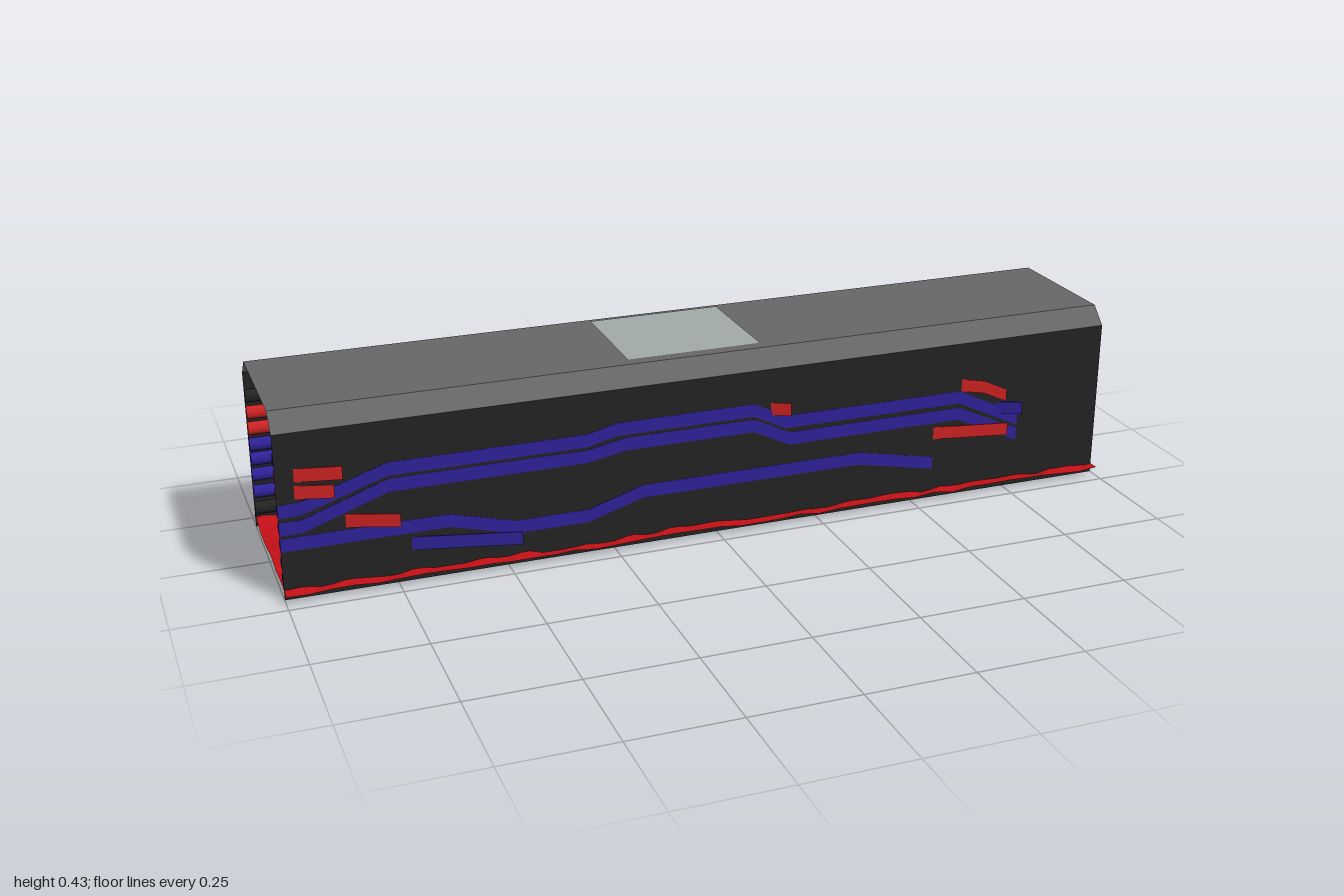
import * as THREE from 'three';

const mat = (color, flatShading = false) =>
  new THREE.MeshStandardMaterial({ color, flatShading, side: THREE.DoubleSide });
const DARK = mat(0x222222), ROOF = mat(0x666666), RED = mat(0xb81c14), PIPE_RED = mat(0xcc2222),
  BLUE = mat(0x2d2196, true), GLASS = mat(0xa0a8a6), YELLOW = mat(0xc8c41e), FLOOR = mat(0xc01016, true);
const IN = 0.199, OUT = 0.2015, R = 0.0155; // pipe backs just behind / in front of the wall plane

function add(parent, name, geometry, material) {
  const m = new THREE.Mesh(geometry, material);
  m.name = name;
  parent.add(m);
  return m;
}

// Flat strip running the whole length between two (y, z) points
function strip(y0, z0, y1, z1, x0 = -1, x1 = 1) {
  const g = new THREE.BufferGeometry();
  g.setAttribute('position', new THREE.Float32BufferAttribute(
    [x0, y0, z0, x1, y0, z0, x1, y1, z1, x0, y1, z1], 3));
  g.setIndex([0, 1, 2, 0, 2, 3]);
  g.computeVertexNormals();
  return g;
}

// Half-round pipe with a flat back on the wall, swept through path points [x, y, z]
function halfPipe(path, r = R) {
  const n = 8, pos = [], idx = [];
  for (const [x, y, z] of path)
    for (let i = 0; i <= n; i++) {
      const a = (i / n) * Math.PI;
      pos.push(x, y + r * Math.cos(a), z - r * Math.sin(a));
    }
  const row = n + 1;
  for (let k = 0; k < path.length - 1; k++)
    for (let i = 0; i < row; i++) {
      const a = k * row + i, b = k * row + (i + 1) % row;
      idx.push(a, a + row, b, b, a + row, b + row);
    }
  for (const base of [0, (path.length - 1) * row])
    for (let i = 1; i < n; i++) idx.push(base, base + i, base + i + 1);
  const g = new THREE.BufferGeometry();
  g.setAttribute('position', new THREE.Float32BufferAttribute(pos, 3));
  g.setIndex(idx);
  const flat = g.toNonIndexed();
  flat.computeVertexNormals();
  return flat;
}

// One wall's worth of pipes and lamps, on the +z side
function wallFittings(name) {
  const g = new THREE.Group();
  g.name = name;
  const at = (z, pts) => pts.map(([x, y]) => [x, y, z]);

  // Long blue pipes bending up and down along the wall
  const longPipes = [
    [[-1, .168], [-.95, .168], [-.76, .235], [-.31, .235], [-.22, .252], [.09, .252], [.18, .208], [.62, .208], [.78, .133]],
    [[-1, .208], [-.95, .21], [-.76, .273], [-.31, .273], [-.24, .29], [.09, .29], [.17, .25], [.62, .25], [.78, .172]],
    [[-1, .13], [-.63, .13], [-.48, .09], [-.31, .09], [-.18, .13], [.36, .13], [.555, .09]],
  ];
  for (const p of longPipes) {
    add(g, 'bluePipe', halfPipe(at(OUT, p)), BLUE);
    const [x, y] = p[p.length - 1];
    add(g, 'bluePipeEnd', halfPipe(at(IN, [[x, y], [1, y]])), BLUE);
  }

  // Pipes that break out through the wall
  const blueOutlets = [
    [[-1, .088, IN], [-.72, .088, IN], [-.48, .088, .258]],
    [[1, .208, IN], [.72, .208, IN], [.78, .208, .222]],
  ];
  const redOutlets = [
    [[-1, .287, IN], [-.965, .287, IN], [-.86, .287, .22]],
    [[-1, .248, IN], [-.965, .248, IN], [-.88, .248, .222]],
    [[-.9, .166, IN], [-.86, .166, IN], [-.745, .166, .24]],
    [[.175, .287, .22], [.13, .287, IN], [.1, .287, IN]],
    [[.2, .287, IN], [.62, .28, IN], [.68, .272, .212], [.735, .247, .222]],
    [[.3, .166, IN], [.55, .166, IN], [.735, .166, .236]],
    [[.72, .287, IN], [1, .287, IN]],
    [[.74, .248, IN], [1, .248, IN]],
  ];
  blueOutlets.forEach(p => add(g, 'blueOutletPipe', halfPipe(p), BLUE));
  redOutlets.forEach(p => add(g, 'redOutletPipe', halfPipe(p), PIPE_RED));

  // Straight dark rails at the top and bottom
  for (const y of [.328, .048])
    add(g, 'darkRail', halfPipe(at(IN, [[-1, y], [1, y]])), DARK);

  // Half-round lamps under the sloping roof edge
  for (const x of [-.69, -.23, .23, .69]) {
    const lamp = add(g, 'lamp', halfPipe([[-.12, 0, 0], [.12, 0, 0]], .0165), YELLOW);
    lamp.position.set(x, .4, .178);
    lamp.rotation.x = -Math.PI / 4;
  }
  return g;
}

export function createModel() {
  const model = new THREE.Group();
  model.name = 'corridor';

  // Side walls, with a red outer skin on the back
  add(model, 'frontWall', strip(0, .2, .385, .2), DARK);
  add(model, 'backWall', strip(0, -.2, .385, -.2), DARK);
  add(model, 'backWallSkin', strip(0, -.203, .385, -.203), RED);

  // Roof with sloping edges and a skylight
  add(model, 'roof', strip(.425, .16, .425, -.16), ROOF);
  add(model, 'frontRoofSlope', strip(.385, .2, .425, .16), ROOF);
  add(model, 'backRoofSlope', strip(.425, -.16, .385, -.2), ROOF);
  add(model, 'skylight', strip(.427, .135, .427, -.145, -.19, .13), GLASS);

  // Uneven floor
  const floor = new THREE.PlaneGeometry(2, .456, 40, 10).rotateX(-Math.PI / 2);
  const p = floor.attributes.position;
  for (let i = 0; i < p.count; i++) {
    const s = Math.sin(i * 12.9898) * 43758.5453;
    const edge = Math.abs(p.getZ(i)) > .22 ? .5 : 1;
    p.setY(i, .021 + (s - Math.floor(s) - .5) * .016 * edge);
  }
  add(model, 'floor', floor, FLOOR);

  // The fittings repeat on the back wall, turned half round
  const front = wallFittings('frontFittings');
  const back = wallFittings('backFittings');
  back.rotation.y = Math.PI;
  model.add(front, back);
  return model;
}
